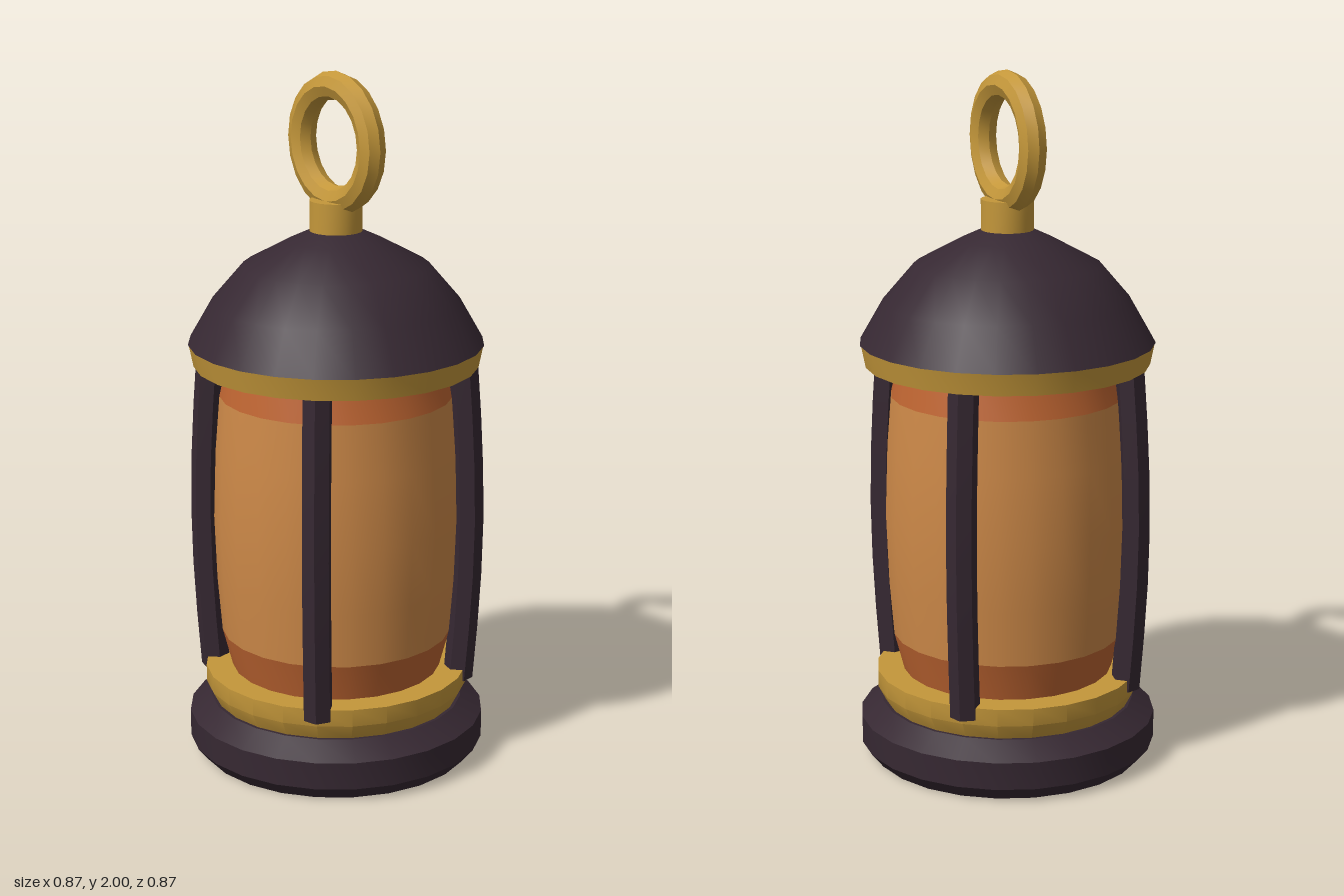
import * as THREE from 'three';
import { toCreasedNormals } from 'three/addons/utils/BufferGeometryUtils.js';

const material = (name, color) => {
  const m = new THREE.MeshStandardMaterial({ color });
  m.name = name;
  return m;
};

export function createModel() {
  const dark = material('dark iron', 0x362832);
  const gold = material('brass', 0xc4973a);
  const glow = material('amber glass', 0xcd8948);
  const rust = material('burnt orange glass', 0xbd6431);

  const model = new THREE.Group();
  model.name = 'lantern';

  const add = (name, geometry, mat, parent = model) => {
    const mesh = new THREE.Mesh(toCreasedNormals(geometry, 0.5), mat);
    mesh.name = name;
    parent.add(mesh);
    return mesh;
  };
  // Turned part from [radius, height] pairs, bottom to top
  const turned = (name, profile, mat) =>
    add(name, new THREE.LatheGeometry(profile.map(([r, y]) => new THREE.Vector2(r, y)), 24), mat);

  // Base and lower collar
  turned('base', [[0, 0], [0.4, 0], [0.433, 0.04], [0.433, 0.12], [0.37, 0.165], [0, 0.165]], dark);
  turned('lowerCollar', [[0, 0.16], [0.358, 0.16], [0.384, 0.21], [0.384, 0.26], [0, 0.26]], gold);

  // Bulging glass with a darker band at each end
  turned('lowerGlassBand', [[0.305, 0.255], [0.335, 0.37]], rust);
  turned('glass', [[0.335, 0.37], [0.348, 0.53], [0.355, 0.72], [0.348, 0.92], [0.335, 1.08]], glow);
  turned('upperGlassBand', [[0.335, 1.08], [0.312, 1.18]], rust);

  // Upper collar, domed roof and neck
  turned('upperCollar', [[0, 1.17], [0.407, 1.17], [0.42, 1.235], [0, 1.235]], gold);
  turned('roof', [[0, 1.233], [0.422, 1.233], [0.355, 1.35], [0.265, 1.455], [0.135, 1.525],
    [0.06, 1.56], [0, 1.565]], dark);
  const neck = add('neck', new THREE.CylinderGeometry(0.075, 0.075, 0.1, 24), gold);
  neck.position.y = 1.59;

  // Hanging ring
  const ring = add('hangingRing', new THREE.TorusGeometry(0.16, 0.04, 8, 20), gold);
  ring.position.y = 1.8;

  // Four bars bowed outwards along the glass
  const bars = new THREE.Group();
  bars.name = 'bars';
  model.add(bars);
  const low = 0.225, high = 1.19;
  const barGeometry = new THREE.CylinderGeometry(0.043, 0.043, high - low, 6, 6);
  barGeometry.translate(0, (low + high) / 2, 0);
  const p = barGeometry.attributes.position;
  for (let i = 0; i < p.count; i++) {
    const t = (p.getY(i) - low) / (high - low);
    p.setZ(i, p.getZ(i) + 0.362 + 0.024 * Math.sin(Math.PI * t));
  }
  for (let i = 0; i < 4; i++) {
    const bar = add('bar', barGeometry, dark, bars);
    bar.rotation.y = Math.PI / 4 + (i * Math.PI) / 2;
  }

  return model;
}
